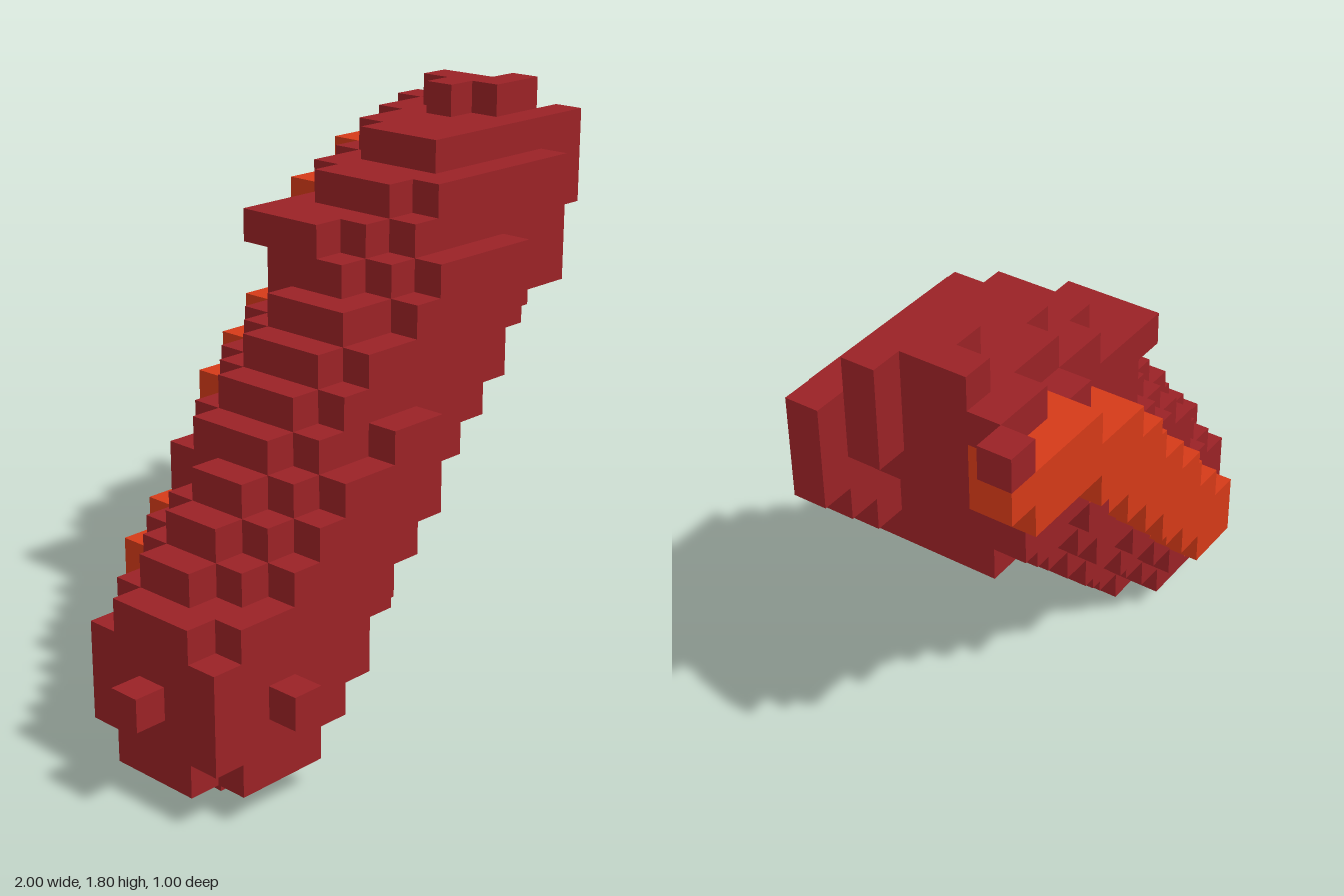
import * as THREE from 'three';
import { mergeGeometries } from 'three/addons/utils/BufferGeometryUtils.js';

const S = 0.1; // cube size
const V = (x, y, z) => new THREE.Vector3(x, y, z);

// Bent centre line of the limb, in cube units, with a radius at each joint
const start = V(3, 3, 6), bend = V(13.3, 12.8, 3.94), end = V(17.1, 14, 3.2);
const segments = [
  { line: new THREE.Line3(start, bend), r0: 3.05, r1: 3.4, ramp: 1.4 },
  { line: new THREE.Line3(bend, end), r0: 3.4, r1: 3.27, ramp: 1 },
];

// Limits [min, max]: x and z for each height, then x for each depth
const xAtY = [[3, 3], [1, 5], [1, 6], [0, 7], [1, 8], [1, 9], [2, 10], [3, 11], [4, 12],
  [5, 13], [6, 15], [7, 16], [8, 17], [9, 18], [9, 19], [11, 19], [13, 19], [16, 18]];
const zAtY = [[6, 6], [4, 8], [4, 8], [3, 9], [2, 8], [2, 8], [2, 8], [2, 8], [1, 8],
  [1, 8], [1, 7], [1, 7], [1, 7], [0, 7], [0, 6], [0, 6], [0, 5], [2, 4]];
const xAtZ = [[12, 18], [8, 17], [4, 17], [3, 17], [1, 18], [1, 19], [0, 17], [1, 14], [1, 9], [3, 3]];
const within = (v, r) => r !== undefined && v >= r[0] && v <= r[1];

// Broken-off upper end: a hollow face with a few prongs
function endKept(x, y, z) {
  if (x < 17) return true;
  if (x === 17) return y >= 14 || z >= 5;
  if (x === 18) return (z === 0 && y >= 15) || (z === 4 && y >= 15) || (z === 5 && y >= 13);
  return z === 5 && y >= 14 && y <= 16;
}

// Raised ledge on the upper side
const onLedge = (x, y, z) => y === 14 && (x === 9 || x === 10) && z >= 2 && z <= 4;

// Bright ridge running along the back
function onBand(x, y, z) {
  const u = y - Math.min(14.6, 3 + (x - 3) * 0.97);
  const dz = z - (6 - 0.24 * (x - 3));
  return x >= 4 && dz <= -1.6 && dz >= -3.9 && u >= -1.3 && u <= 1.31;
}

function inLimb(p) {
  return segments.some(({ line, r0, r1, ramp }) => {
    const t = line.closestPointToPointParameter(p, true);
    return line.at(t, V(0, 0, 0)).distanceTo(p) <= r0 + (r1 - r0) * Math.min(1, t * ramp);
  });
}

function solid(x, y, z) {
  if (!within(x, xAtY[y]) || !within(z, zAtY[y]) || !within(x, xAtZ[z])) return false;
  if (!endKept(x, y, z)) return false;
  return x >= 18 || onLedge(x, y, z) || onBand(x, y, z) || inLimb(V(x, y, z));
}

// One square for each cube side, facing along its direction
const sides = [[1, 0, 0], [-1, 0, 0], [0, 1, 0], [0, -1, 0], [0, 0, 1], [0, 0, -1]].map((d) => {
  const g = new THREE.PlaneGeometry(S, S);
  if (d[2] === -1) g.rotateY(Math.PI);
  else g.applyQuaternion(new THREE.Quaternion().setFromUnitVectors(V(0, 0, 1), V(...d)));
  g.translate(d[0] * S / 2, d[1] * S / 2, d[2] * S / 2);
  return { d, g };
});

export function createModel() {
  const group = new THREE.Group();
  group.name = 'blockLimb';
  const skin = [], band = [];

  // Keep only the cube sides that face open air
  for (let x = 0; x < 20; x++) for (let y = 0; y < 18; y++) for (let z = 0; z < 10; z++) {
    if (!solid(x, y, z)) continue;
    const list = onBand(x, y, z) ? band : skin;
    for (const { d, g } of sides) {
      if (solid(x + d[0], y + d[1], z + d[2])) continue;
      list.push(g.clone().translate((x - 9.5) * S, (y + 0.5) * S, (z - 4.5) * S));
    }
  }

  const add = (name, list, colorName, color) => {
    const material = new THREE.MeshStandardMaterial({ color });
    material.name = colorName;
    const mesh = new THREE.Mesh(mergeGeometries(list), material);
    mesh.name = name;
    group.add(mesh);
  };
  add('limbSkin', skin, 'darkRed', 0x9b2226);
  add('backBand', band, 'orangeRed', 0xd63a18);
  return group;
}
